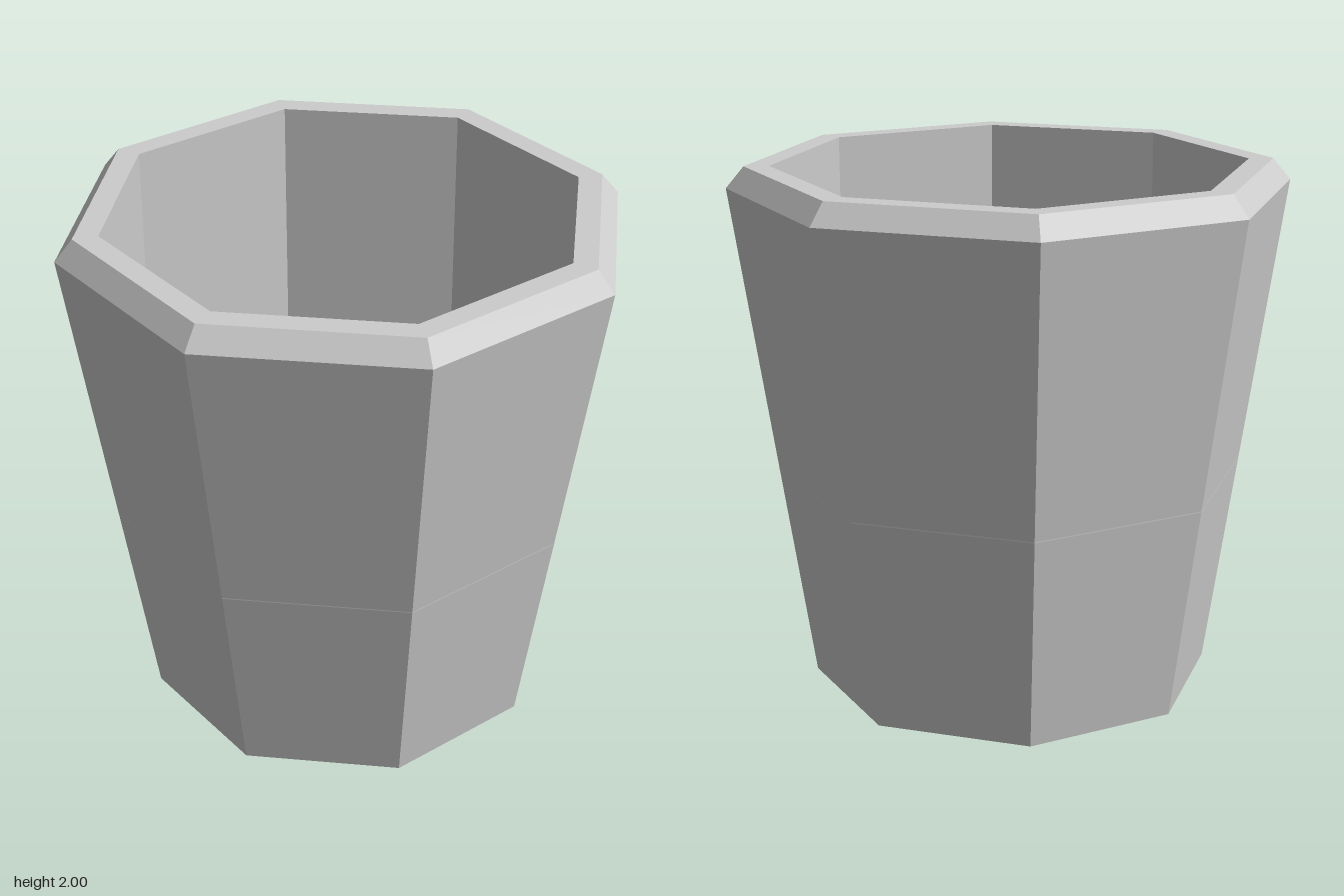
import * as THREE from 'three';

const SIDES = 8;
const TURN = THREE.MathUtils.degToRad(20.1); // slight twist of the octagon

export function createModel() {
  const model = new THREE.Group();
  model.name = 'octagonalPot';

  const grey = new THREE.MeshStandardMaterial({ color: 0xcccccc, flatShading: true, side: THREE.DoubleSide });
  grey.name = 'light grey';

  // Eight-sided ring through (radius, height) points
  const addRing = (name, points) => {
    const profile = points.map(([r, y]) => new THREE.Vector2(r, y));
    const mesh = new THREE.Mesh(new THREE.LatheGeometry(profile, SIDES, TURN), grey);
    mesh.name = name;
    model.add(mesh);
  };

  // Tapered outer wall, open underneath
  addRing('outerWall', [[0.767, 0], [1.05, 1.92]]);
  // Bevelled lip and flat rim
  addRing('rim', [[1.05, 1.92], [0.983, 2], [0.89, 2]]);
  // Straight inner wall down to where it meets the taper
  addRing('innerWall', [[0.89, 2], [0.89, 0.83]]);

  // Raised floor, seen from above and below
  const floor = new THREE.Mesh(new THREE.CircleGeometry(0.89, SIDES, TURN), grey);
  floor.name = 'floor';
  floor.rotation.x = -Math.PI / 2;
  floor.position.y = 0.83;
  model.add(floor);

  return model;
}
